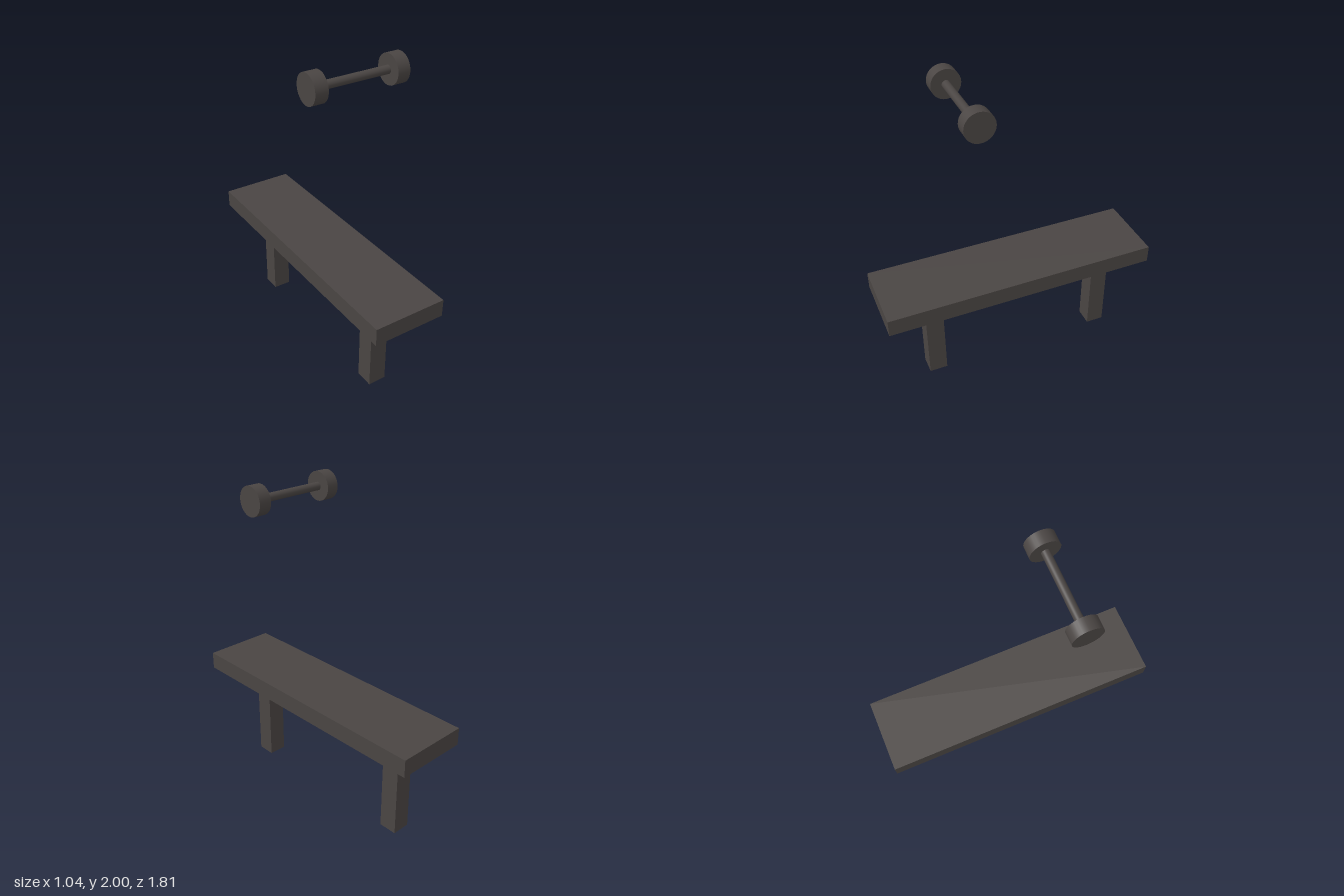
import * as THREE from 'three';

export function createModel() {
  const charcoal = new THREE.MeshStandardMaterial({ color: 0x4a4543 });
  charcoal.name = 'charcoal';

  const model = new THREE.Group();
  model.name = 'benchWithDumbbell';

  const add = (parent, name, geometry, x, y, z) => {
    const mesh = new THREE.Mesh(geometry, charcoal);
    mesh.name = name;
    mesh.position.set(x, y, z);
    parent.add(mesh);
  };

  // Bench: plank on two square posts, turned about the vertical axis
  const turn = THREE.MathUtils.degToRad(-20);
  const bench = new THREE.Group();
  bench.name = 'bench';
  bench.rotation.y = turn;
  add(bench, 'seat', new THREE.BoxGeometry(0.468, 0.113, 1.755), 0, 0.664, 0);
  const post = new THREE.BoxGeometry(0.117, 0.61, 0.117);
  add(bench, 'frontLeg', post, 0, 0.305, 0.549);
  add(bench, 'backLeg', post, 0, 0.305, -0.625);
  model.add(bench);

  // Dumbbell: bar across the bench with a disc at each end
  const dumbbell = new THREE.Group();
  dumbbell.name = 'dumbbell';
  dumbbell.position.set(-0.102, 1.91, 0.277);
  dumbbell.rotation.y = turn;
  const rod = (radius, length) =>
    new THREE.CylinderGeometry(radius, radius, length, 32).rotateZ(Math.PI / 2);
  add(dumbbell, 'bar', rod(0.025, 0.46), 0, 0, 0);
  const disc = rod(0.09, 0.08);
  add(dumbbell, 'leftWeight', disc, 0.26, 0, 0);
  add(dumbbell, 'rightWeight', disc, -0.26, 0, 0);
  model.add(dumbbell);

  return model;
}
